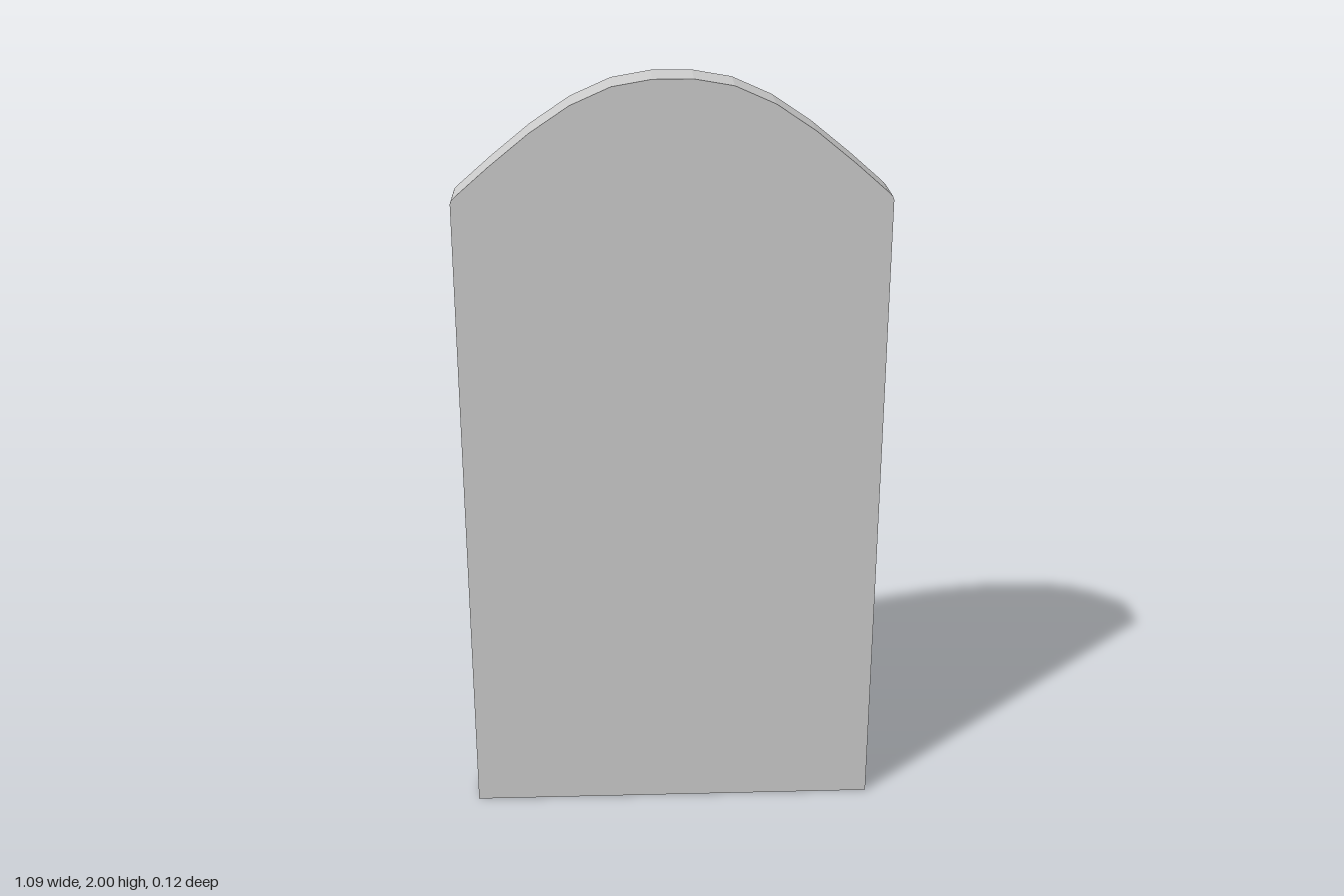
import * as THREE from 'three';

const HALF_WIDTH = 0.543;
const DEPTH = 0.124;

// Right half of the arched top, from the lower corner to the crown
const ARCH = [
  [HALF_WIDTH, 1.702], [0.54, 1.71], [0.53, 1.72], [0.446, 1.793],
  [0.347, 1.873], [0.248, 1.939], [0.148, 1.983], [0.05, 2],
];

export function createModel() {
  const group = new THREE.Group();
  group.name = 'archedPanel';

  // Outline: straight sides, flat foot, mirrored faceted arch
  const mirrored = ARCH.map(([x, y]) => [-x, y]).reverse();
  const outline = [[-HALF_WIDTH, 0], [HALF_WIDTH, 0], ...ARCH, ...mirrored];
  const shape = new THREE.Shape(outline.map(([x, y]) => new THREE.Vector2(x, y)));

  // Slab of even thickness, centred front to back
  const geometry = new THREE.ExtrudeGeometry(shape, { depth: DEPTH, bevelEnabled: false });
  geometry.translate(0, 0, -DEPTH / 2);

  const material = new THREE.MeshStandardMaterial({ color: 0xcccccc, flatShading: true });
  const slab = new THREE.Mesh(geometry, material);
  slab.name = 'slab';
  group.add(slab);
  return group;
}
